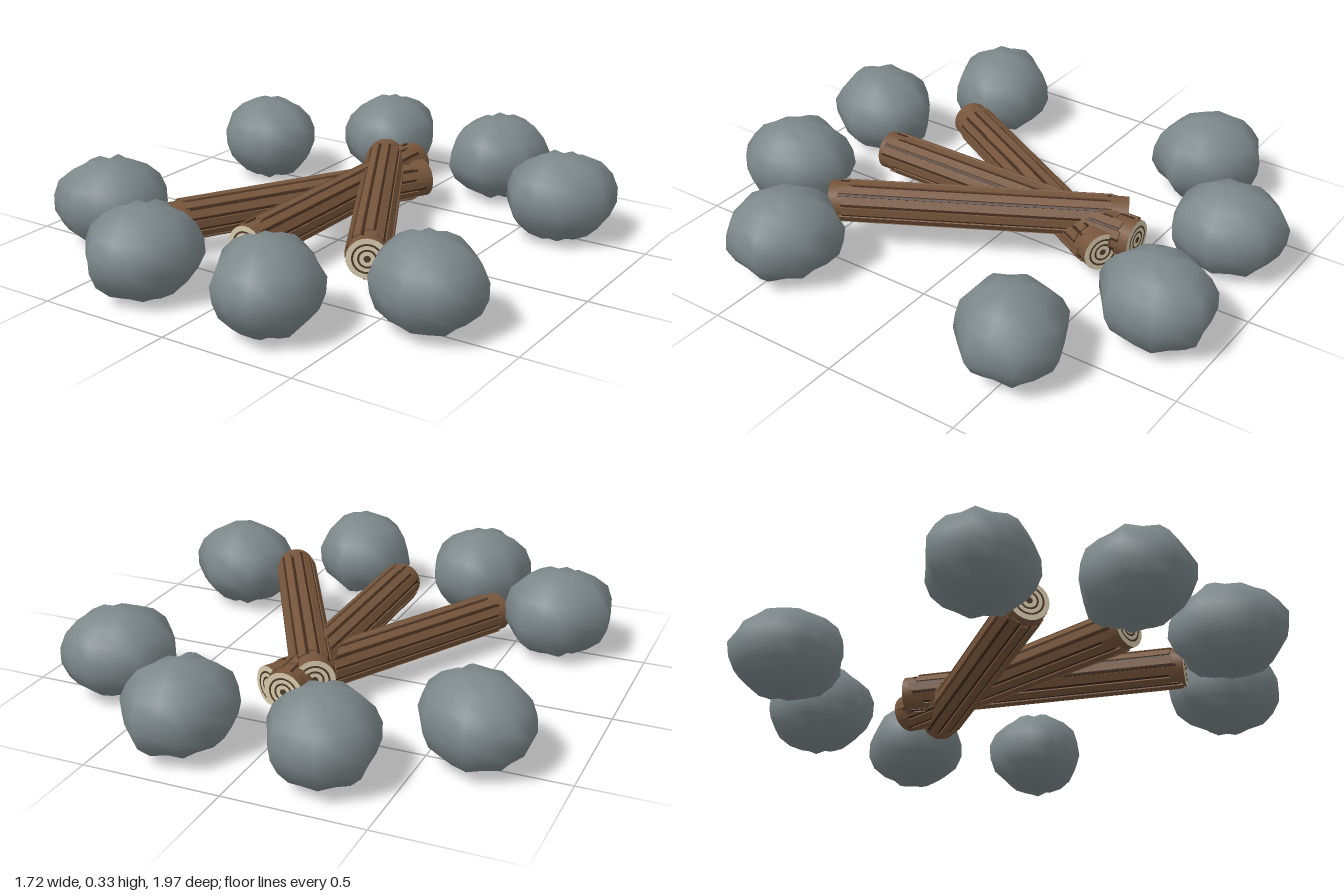
import * as THREE from 'three';

const mat = (name, color, side = THREE.FrontSide) => {
  const m = new THREE.MeshStandardMaterial({ color, side });
  m.name = name;
  return m;
};

// Small seeded generator
function seeded(seed) {
  let s = seed;
  return () => (s = (s * 16807) % 2147483647) / 2147483647;
}

// Lumpy stone: a coarse sphere with pleats running into its poles, smooth normals
function stoneGeometry(seed) {
  const rnd = seeded(seed), W = 14, H = 9;
  const geo = new THREE.SphereGeometry(1, W, H);
  const p = geo.attributes.position, n = geo.attributes.normal;
  const pleat = Array.from({ length: W }, (_, i) => (i % 2 ? 0.04 : -0.04) + (rnd() - 0.5) * 0.06);
  for (let j = 1; j < H; j++) {
    for (let i = 0; i < W; i++) {
      const k = 1 + pleat[i] + (rnd() - 0.5) * 0.06;
      for (const c of i === 0 ? [0, W] : [i]) {
        const v = j * (W + 1) + c;
        p.setXYZ(v, p.getX(v) * k, p.getY(v) * (1 + (k - 1) * 0.5), p.getZ(v) * k);
      }
    }
  }
  geo.scale(0.207, 0.163, 0.184);
  geo.computeVertexNormals();
  // Close the shading seam and the poles
  for (let j = 0; j <= H; j++) {
    const a = j * (W + 1), b = a + W;
    const v = new THREE.Vector3().fromBufferAttribute(n, a)
      .add(new THREE.Vector3().fromBufferAttribute(n, b)).normalize();
    if (j === 0 || j === H) {
      for (let i = a; i <= b; i++) n.setXYZ(i, 0, j ? -1 : 1, 0);
    } else {
      n.setXYZ(a, v.x, v.y, v.z);
      n.setXYZ(b, v.x, v.y, v.z);
    }
  }
  return geo;
}

export function createModel() {
  const model = new THREE.Group();
  model.name = 'campfire';
  const stoneMat = mat('stone grey', 0x7c878a);
  const bark = mat('bark brown', 0x76553b);
  const groove = mat('groove brown', 0x3f291b);
  const cream = mat('cut wood cream', 0xd6c8ab);
  const ring = mat('growth ring brown', 0x4c3b2b);

  const add = (parent, name, geo, material) => {
    const mesh = new THREE.Mesh(geo, material);
    mesh.name = name;
    parent.add(mesh);
    return mesh;
  };

  // Ring of eight stones, with gaps at both sides
  [1, 2, 3, 4, 6, 7, 8, 9].forEach((k, i) => {
    const a = (k * Math.PI) / 5;
    const s = add(model, 'stone' + (i + 1), stoneGeometry(311 + i * 977), stoneMat);
    s.position.set(0.82 * Math.cos(a), 0.17, 0.82 * Math.sin(a));
    s.rotation.y = -a;
  });

  // Log lying along z, with bark plates, grooves and ringed ends
  function makeLog(name, length, seed) {
    const log = new THREE.Group();
    log.name = name;
    const rnd = seeded(seed), R = 0.071, N = 12;
    add(log, 'logCore', new THREE.CylinderGeometry(R, R, length, 24, 1, true).rotateX(Math.PI / 2), bark);

    const strip = (label, angle, radius, w, t, len, z, material) => {
      const m = add(log, label, new THREE.BoxGeometry(w, t, len), material);
      m.position.set(Math.sin(angle) * radius, Math.cos(angle) * radius, z);
      m.rotation.z = -angle;
    };
    for (let i = 0; i < N; i++) {
      const a = (i / N) * Math.PI * 2;
      const len = length * (0.86 + rnd() * 0.1);
      strip('barkPlate', a, R + 0.001, 0.028, 0.01, len, (rnd() - 0.5) * 0.03, bark);
      strip('barkGroove', a + Math.PI / N, R, 0.008, 0.006, len, (rnd() - 0.5) * 0.03, groove);
    }

    for (const side of [1, -1]) {
      const end = new THREE.Group();
      end.name = side > 0 ? 'frontEnd' : 'backEnd';
      end.position.z = (side * length) / 2;
      if (side < 0) end.rotation.y = Math.PI;
      log.add(end);
      add(end, 'cutFace', new THREE.CircleGeometry(R, 24), cream);
      // Growth rings and heart
      for (const [r0, r1] of [[0.046, 0.053], [0.026, 0.033], [0, 0.012]]) {
        const g = r0 ? new THREE.RingGeometry(r0, r1, 24) : new THREE.CircleGeometry(r1, 16);
        add(end, 'growthRing', g, ring).position.z = 0.002;
      }
    }
    model.add(log);
    return log;
  }

  // Three logs meeting at the back and fanning out to the front
  makeLog('middleLog', 1.1, 41).position.set(-0.008, 0.165, 0);
  for (const side of [1, -1]) {
    const log = makeLog(side > 0 ? 'leftLog' : 'rightLog', 1.07, side > 0 ? 73 : 129);
    log.position.set(side * 0.17, side > 0 ? 0.19 : 0.135, 0);
    log.rotation.y = side * 0.5;
  }
  return model;
}
